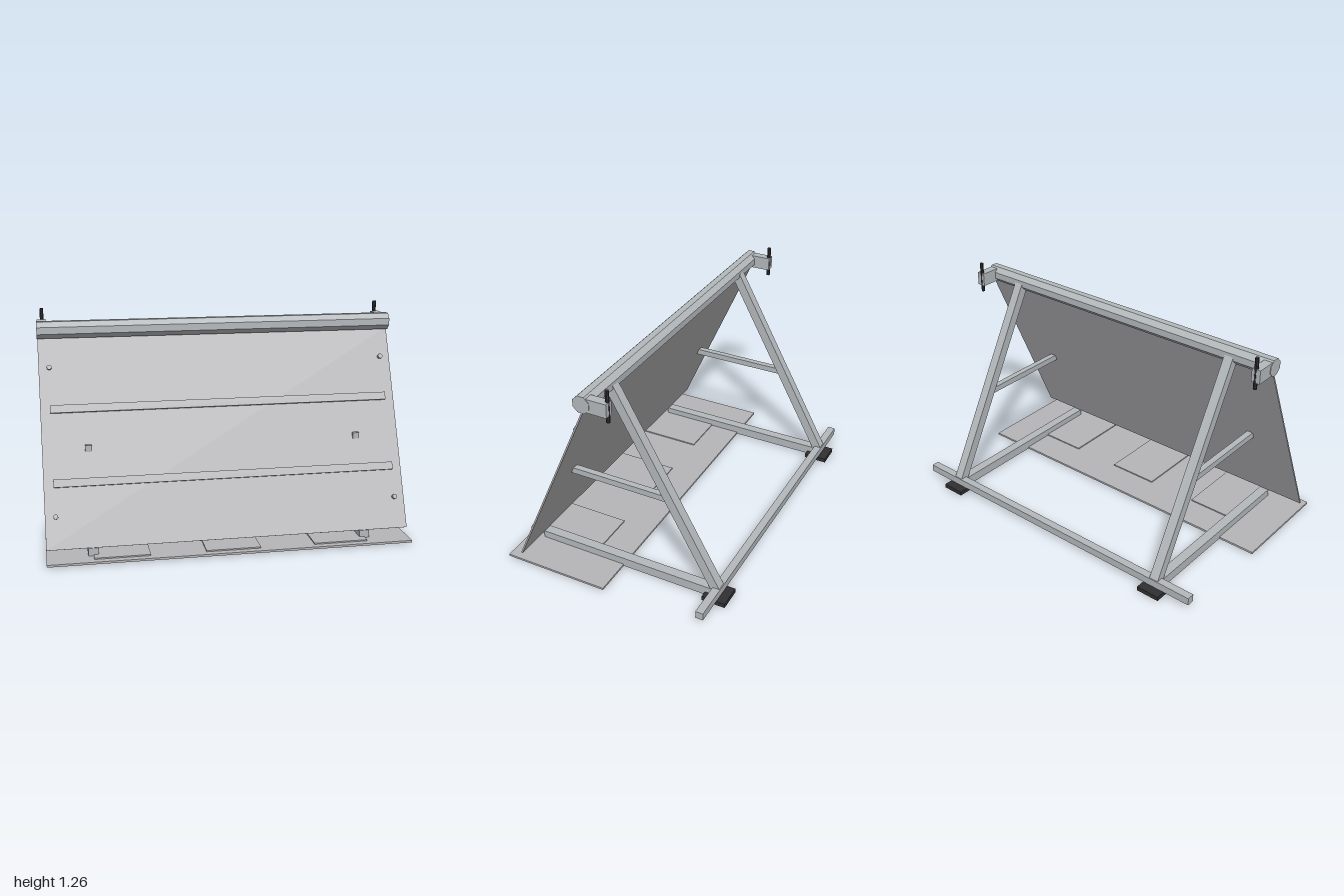
import * as THREE from 'three';

export function createModel() {
  const model = new THREE.Group();
  model.name = 'foldingPanelStand';

  const mat = (name, color) => {
    const m = new THREE.MeshStandardMaterial({ color });
    m.name = name;
    return m;
  };
  const steel = mat('steelGrey', 0xb4b9bc);
  const sheet = mat('sheetGrey', 0xb6b6b9);
  const rubber = mat('darkRubber', 0x303032);

  const add = (parent, name, geo, material, x, y, z) => {
    const mesh = new THREE.Mesh(geo, material);
    mesh.name = name;
    mesh.position.set(x, y, z);
    parent.add(mesh);
    return mesh;
  };
  // box given by its ranges in y and z
  const slab = (name, material, x, w, y0, y1, z0, z1) =>
    add(model, name, new THREE.BoxGeometry(w, y1 - y0, z1 - z0), material,
      x, (y0 + y1) / 2, (z0 + z1) / 2);
  // eight-sided bar with flats facing along the axes
  const octagon = (apothem, length) => {
    const g = new THREE.CylinderGeometry(apothem / Math.cos(Math.PI / 8),
      apothem / Math.cos(Math.PI / 8), length, 8).toNonIndexed();
    g.rotateY(Math.PI / 8);
    g.computeVertexNormals();
    return g;
  };

  // top bar
  add(model, 'topBar', octagon(0.046, 2).rotateZ(Math.PI / 2), steel, 0, 1.162, 0.074);

  // leaning panel: local y runs up the slope, local z points outward
  const bottom = [0.062, 0.538], top = [1.122, 0.068];
  const rise = top[0] - bottom[0], run = bottom[1] - top[1];
  const slope = Math.hypot(rise, run);
  const panel = new THREE.Group();
  panel.name = 'leaningPanel';
  panel.position.set(0, bottom[0], bottom[1]);
  panel.rotation.x = -Math.atan2(run, rise);
  model.add(panel);
  const along = (y) => (y - bottom[0]) * slope / rise;
  add(panel, 'panelSheet', new THREE.BoxGeometry(1.994, slope, 0.009), sheet, 0, slope / 2, 0);

  // ribs and corner bolts on the panel
  for (const y of [0.75, 0.382]) {
    add(panel, 'panelRib', new THREE.BoxGeometry(1.89, 0.043, 0.018), sheet, 0, along(y), 0.0125);
  }
  for (const y of [0.962, 0.221]) {
    for (const x of [-0.94, 0.94]) {
      add(panel, 'panelBolt', octagon(0.0125, 0.02).rotateX(Math.PI / 2), sheet, x, along(y), 0.013);
    }
  }

  // ground plate with three thin pads
  slab('groundPlate', sheet, 0, 1.996, 0.005, 0.017, 0.012, 0.628);
  for (const x of [-0.6, 0, 0.6]) slab('platePad', sheet, x, 0.3, 0.016, 0.024, 0.2, 0.59);

  // rear cross bar
  slab('rearCrossBar', steel, 0, 1.96, 0.03, 0.074, -0.581, -0.537);

  for (const side of [-1, 1]) {
    const x = side * 0.75;

    // base rail, middle brace and foot
    slab('baseRail', steel, x, 0.056, 0.006, 0.06, -0.53, 0.538);
    slab('middleBrace', steel, x, 0.036, 0.535, 0.57, -0.27, 0.34);
    slab('foot', rubber, x, 0.136, 0, 0.025, -0.628, -0.492);

    // slanted rear leg
    const a = new THREE.Vector3(x, 1.15, 0.051);
    const b = new THREE.Vector3(x, 0.058, -0.554);
    const leg = add(model, 'rearLeg', new THREE.BoxGeometry(0.054, a.distanceTo(b), 0.053), steel,
      x, (a.y + b.y) / 2, (a.z + b.z) / 2);
    leg.rotation.x = Math.atan2(a.z - b.z, a.y - b.y);

    // end bracket and its upright pin
    slab('endBracket', steel, side * 0.972, 0.05, 1.123, 1.2, -0.068, 0.06);
    add(model, 'bracketPin', octagon(0.01, 0.178), rubber, side * 0.968, 1.173, -0.059);
  }

  return model;
}
